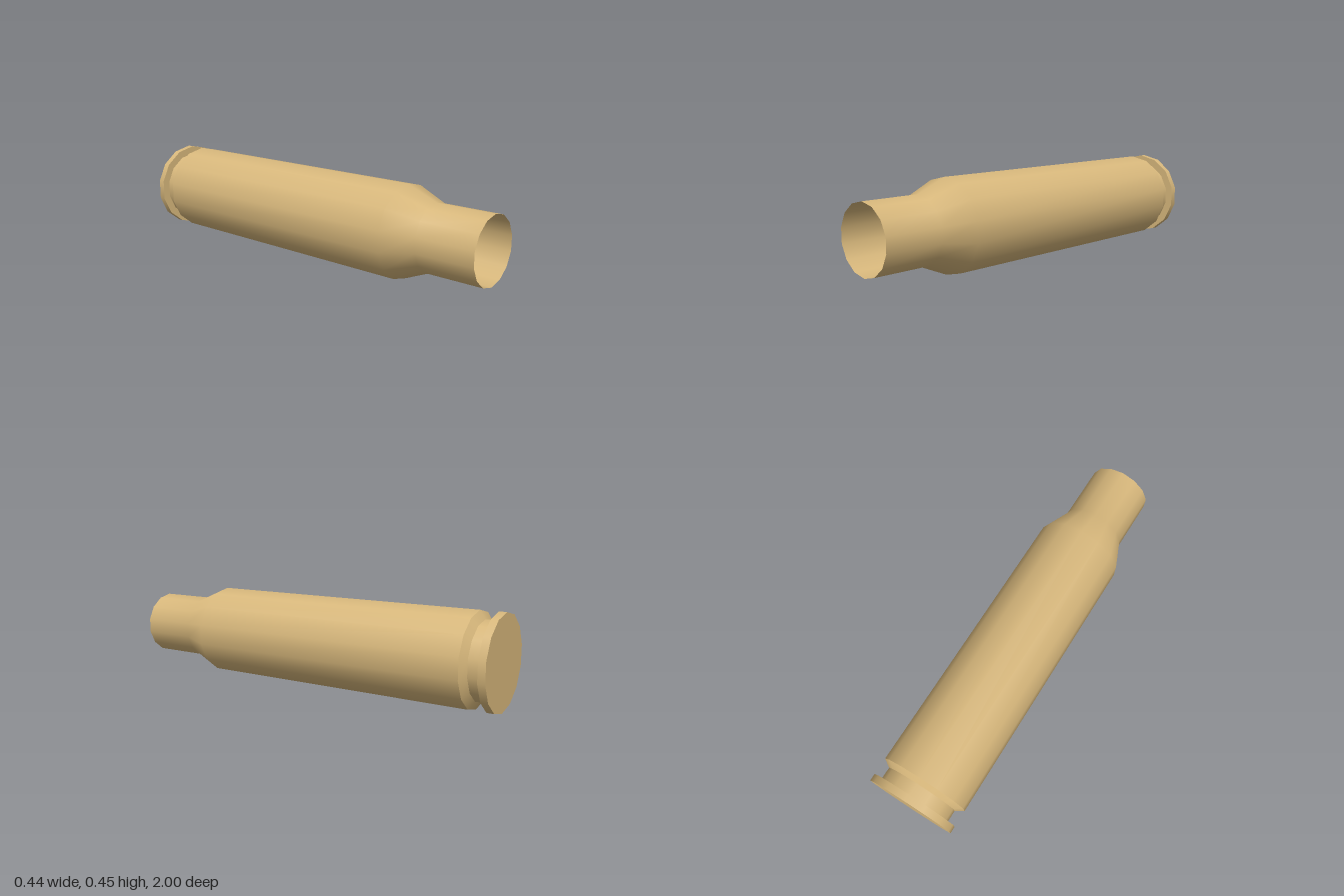
import * as THREE from 'three';

const SIDES = 14;
const CENTRE_Y = 0.225;

export function createModel() {
  const group = new THREE.Group();
  group.name = 'cartridgeCase';
  const brass = new THREE.MeshStandardMaterial({ color: 0xd8b87c });
  brass.name = 'brass';

  // Spins a [radius, z] profile about the z axis; smooth within one profile
  function turned(name, profile) {
    const points = profile.map(([r, z]) => new THREE.Vector2(r, z));
    const geometry = new THREE.LatheGeometry(points, SIDES);
    geometry.rotateX(Math.PI / 2);
    const mesh = new THREE.Mesh(geometry, brass);
    mesh.name = name;
    mesh.position.y = CENTRE_Y;
    group.add(mesh);
  }

  // Flat base and rim, hard edges between them
  turned('baseFace', [[0, -1], [0.225, -1]]);
  turned('rimEdge', [[0.225, -1], [0.225, -0.965]]);
  turned('rimStep', [[0.225, -0.965], [0.185, -0.965]]);

  // Extractor groove and the bevel up to the body
  turned('groove', [[0.185, -0.965], [0.185, -0.905]]);
  turned('bevel', [[0.185, -0.905], [0.225, -0.88]]);

  // Body, shoulder and neck
  turned('body', [[0.225, -0.88], [0.225, 0.56], [0.162, 0.71], [0.162, 1]]);

  // Hollow inside, ending in a round floor
  const bore = [[0.162, 1], [0.161, 0.7], [0.161, -0.65]];
  for (let i = 1; i <= 6; i++) {
    const a = (i / 6) * Math.PI / 2;
    bore.push([Math.max(0.161 * Math.cos(a), 0.001), -0.65 - 0.161 * Math.sin(a)]);
  }
  turned('bore', bore);

  return group;
}
